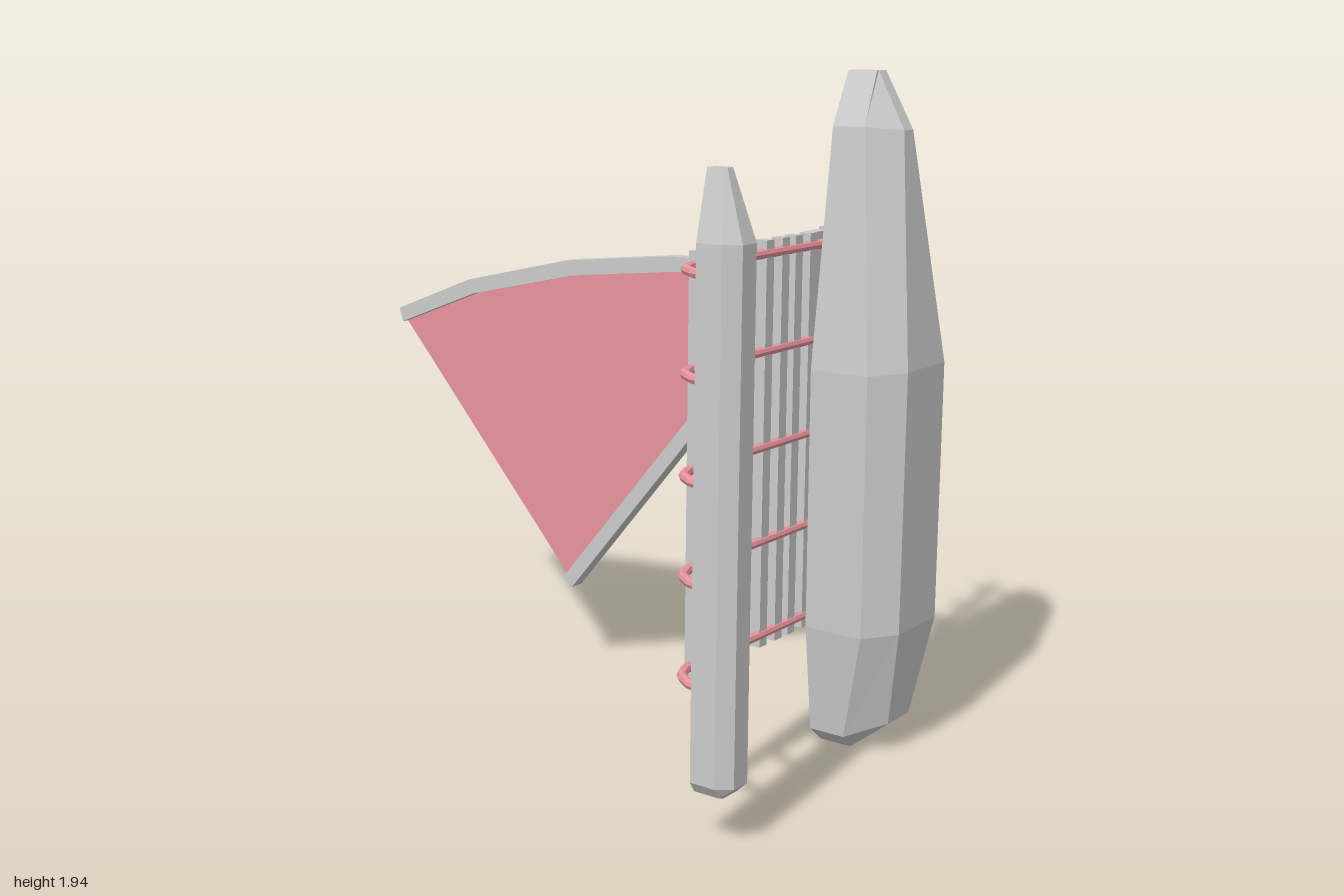
import * as THREE from 'three';

const grey = new THREE.MeshStandardMaterial({ color: 0xcccccc, flatShading: true });
const red = new THREE.MeshStandardMaterial({ color: 0xe8949d, flatShading: true });
const cloth = new THREE.MeshStandardMaterial({ color: 0xe8949d, side: THREE.DoubleSide });

function add(parent, name, geometry, material = grey) {
  const mesh = new THREE.Mesh(geometry, material);
  mesh.name = name;
  parent.add(mesh);
  return mesh;
}

// Lofts mirrored outlines from keel to deck; each line lists stations [halfWidth, y, z]
function hullGeometry(cx, lines) {
  const pos = [];
  const tri = (...pts) => pts.forEach(p => pos.push(...p));
  const quad = (a, b, c, d) => { tri(a, b, c); tri(a, c, d); };
  const rings = lines.map(line => [
    ...line.map(([w, y, z]) => [cx + w, y, z]),
    ...line.map(([w, y, z]) => [cx - w, y, z]).reverse(),
  ]);
  const n = rings[0].length;
  for (let r = 0; r < rings.length - 1; r++) {
    for (let i = 0; i < n; i++) {
      const j = (i + 1) % n;
      quad(rings[r][i], rings[r + 1][i], rings[r + 1][j], rings[r][j]);
    }
  }
  // keel panel in front, floor or deck behind
  const first = rings[0], last = rings[rings.length - 1];
  for (let i = 0; i < n / 2 - 1; i++) {
    quad(first[i], first[i + 1], first[n - 2 - i], first[n - 1 - i]);
    quad(last[n - 1 - i], last[n - 2 - i], last[i + 1], last[i]);
  }
  const g = new THREE.BufferGeometry();
  g.setAttribute('position', new THREE.Float32BufferAttribute(pos, 3));
  g.computeVertexNormals();
  return g;
}

const SAIL_X = 0.26;
// Shape drawn in the (z, y) plane
const sideShape = pts => new THREE.Shape(pts.map(([z, y]) => new THREE.Vector2(z, y)));

function sparGeometry(pts, width) {
  return new THREE.ExtrudeGeometry(sideShape(pts), { depth: width, bevelEnabled: false })
    .translate(0, 0, -width / 2).rotateY(-Math.PI / 2).translate(SAIL_X, 0, 0);
}

export function createModel() {
  const model = new THREE.Group();
  model.name = 'outriggerBoat';

  // Main hull with a recessed well
  const well = [[0.07, 0.1], [0.1, 0.12], [0.14, 0.37], [0.145, 1.12], [0.07, 1.7], [0.045, 1.75]];
  add(model, 'mainHull', hullGeometry(0.26, [
    [[0.06, 0, 0.84], [0.06, 0.09, 0.95], [0.105, 0.38, 1], [0.105, 1.13, 1], [0.025, 1.78, 0.92], [0.015, 1.94, 0.83]],
    [[0.08, 0, 0.84], [0.14, 0.05, 0.85], [0.18, 0.37, 0.92], [0.185, 1.12, 0.92], [0.1, 1.79, 0.84], [0.025, 1.94, 0.83]],
    [[0.08, 0, 0.74], [0.14, 0.05, 0.74], [0.18, 0.37, 0.74], [0.185, 1.12, 0.74], [0.1, 1.79, 0.74], [0.025, 1.94, 0.74]],
    well.map(([w, y]) => [w, y, 0.74]),
    well.map(([w, y]) => [w, y, 0.82]),
  ]));

  // Outrigger float
  add(model, 'outriggerFloat', hullGeometry(-0.592, [
    [[0.03, 0.14, 0.94], [0.03, 0.17, 0.97], [0.03, 1.55, 0.97], [0.012, 1.73, 0.91]],
    [[0.04, 0.14, 0.93], [0.06, 0.17, 0.93], [0.06, 1.55, 0.93], [0.018, 1.73, 0.9]],
    [[0.04, 0.14, 0.855], [0.06, 0.17, 0.855], [0.06, 1.55, 0.855], [0.018, 1.73, 0.855]],
  ]));

  // Curved cross beams
  const path = new THREE.CurvePath();
  const bends = [[-0.592, 0.87], [-0.58, 0.8], [-0.54, 0.745], [-0.49, 0.723],
    [0.54, 0.723], [0.585, 0.705], [0.608, 0.66], [0.608, 0.535]]
    .map(([x, z]) => new THREE.Vector3(x, 0, z));
  for (let i = 1; i < bends.length; i++) path.add(new THREE.LineCurve3(bends[i - 1], bends[i]));
  const beamGeometry = new THREE.TubeGeometry(path, 80, 0.0135, 8, false);
  const beams = new THREE.Group();
  beams.name = 'crossBeams';
  model.add(beams);
  for (const y of [0.4, 0.67, 0.935, 1.2, 1.465]) {
    add(beams, 'crossBeam', beamGeometry, red).position.y = y;
    for (const [x, z, turn] of [[-0.592, 0.87, 0], [0.608, 0.535, Math.PI]]) {
      const cap = add(beams, 'beamEnd', new THREE.CircleGeometry(0.0135, 8), red);
      cap.position.set(x, y, z);
      cap.rotation.y = turn;
    }
  }

  // Narrow slats of the platform
  const slats = new THREE.Group();
  slats.name = 'platformSlats';
  model.add(slats);
  for (const x of [-0.435, -0.358, -0.292, -0.213, -0.127, -0.05, 0.017, 0.092]) {
    add(slats, 'slat', new THREE.BoxGeometry(0.036, 1.135, 0.036)).position.set(x, 0.933, 0.712);
  }

  // Wide planks behind the hull, slightly uneven
  const planks = new THREE.Group();
  planks.name = 'deckPlanks';
  model.add(planks);
  for (let i = 0; i < 6; i++) {
    const odd = i % 2;
    add(planks, 'plank', new THREE.BoxGeometry(0.07, 1.14, 0.036))
      .position.set(0.145 + i * 0.07, odd ? 0.938 : 0.93, odd ? 0.71 : 0.703);
  }

  // Guard rail on the upturned beam ends
  add(model, 'guardRail', new THREE.BoxGeometry(0.036, 1.14, 0.036)).position.set(0.628, 0.933, 0.605);

  // Sail with its two spars
  const upperEdge = [[-0.985, 1.065], [-0.66, 1.19], [-0.24, 1.285], [0.16, 1.33]];
  const lowerEdge = [[0.55, 1.33], [0.4, 1.11], [-0.28, 0.29]];
  add(model, 'upperSpar', sparGeometry([
    [0.7, 1.375], [0.14, 1.375], [-0.27, 1.33], [-0.68, 1.235], [-1, 1.11], ...upperEdge, [0.7, 1.33],
  ], 0.05));
  add(model, 'lowerSpar', sparGeometry([
    [0.59, 1.335], [0.44, 1.09], [-0.245, 0.26], ...[...lowerEdge].reverse(),
  ], 0.05));
  add(model, 'sail', new THREE.ShapeGeometry(sideShape([...upperEdge, ...lowerEdge]))
    .rotateY(-Math.PI / 2).translate(SAIL_X, 0, 0), cloth);

  return model;
}
